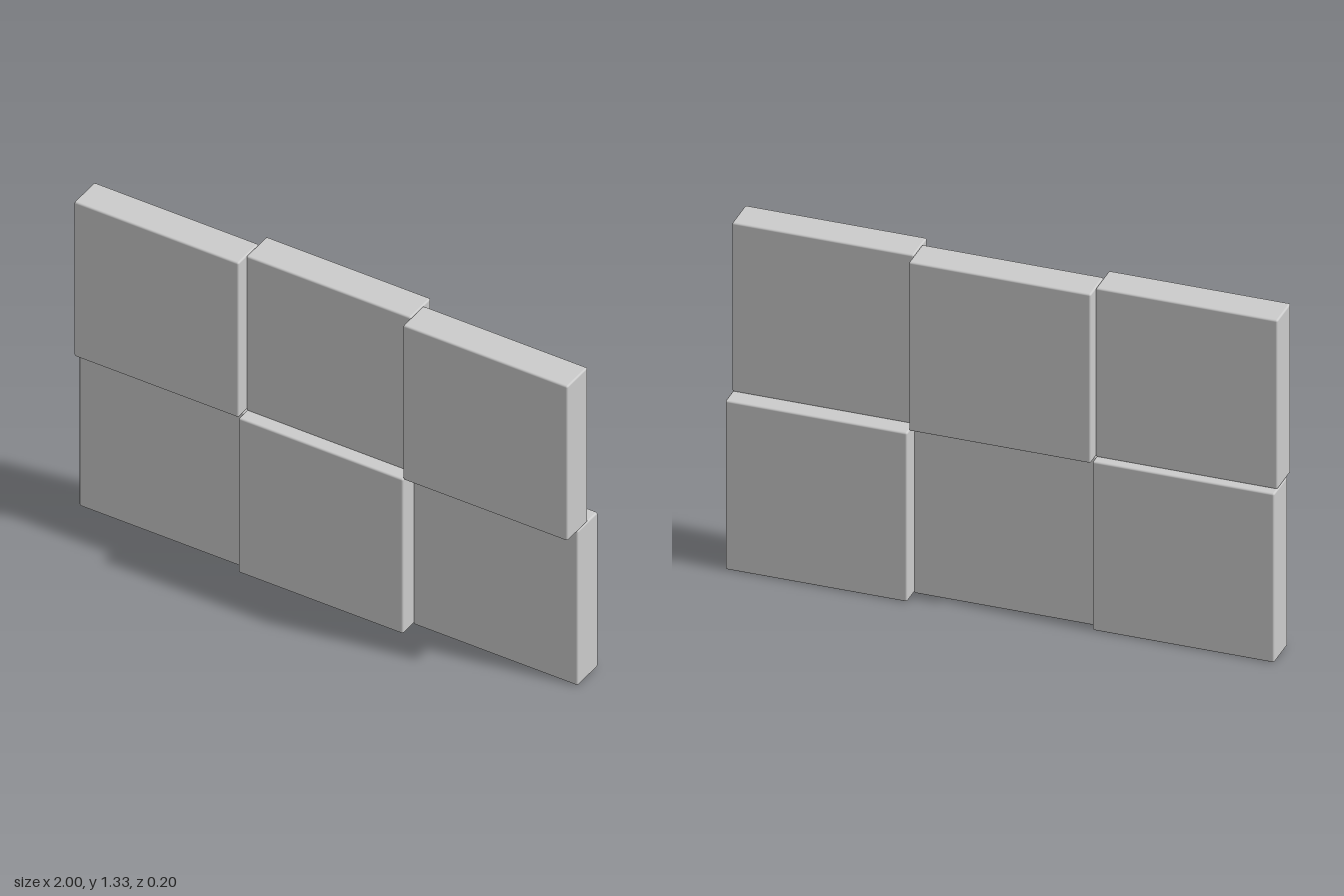
import * as THREE from 'three';
import { RoundedBoxGeometry } from 'three/addons/geometries/RoundedBoxGeometry.js';

const PITCH = 2 / 3; // square tile grid
const DEPTH = 0.133;
const BEVEL = 0.007;

// Front face depth of each tile, columns from -x to +x
const ROWS = [
  { name: 'lower', fronts: [0.067, 0.1, 0.033] },
  { name: 'upper', fronts: [0.1, 0.05, 0.1] },
];
const COLUMNS = ['Right', 'Middle', 'Left'];

export function createModel() {
  const group = new THREE.Group();
  group.name = 'steppedWallPanel';
  const material = new THREE.MeshStandardMaterial({ color: 0xcccccc });
  const tile = new RoundedBoxGeometry(PITCH, PITCH, DEPTH, 2, BEVEL);

  // Two rows of three staggered tiles
  ROWS.forEach((row, r) => {
    row.fronts.forEach((front, c) => {
      const mesh = new THREE.Mesh(tile, material);
      mesh.name = `${row.name}${COLUMNS[c]}Tile`;
      mesh.position.set((c - 1) * PITCH, (r + 0.5) * PITCH, front - DEPTH / 2);
      group.add(mesh);
    });
  });
  return group;
}
